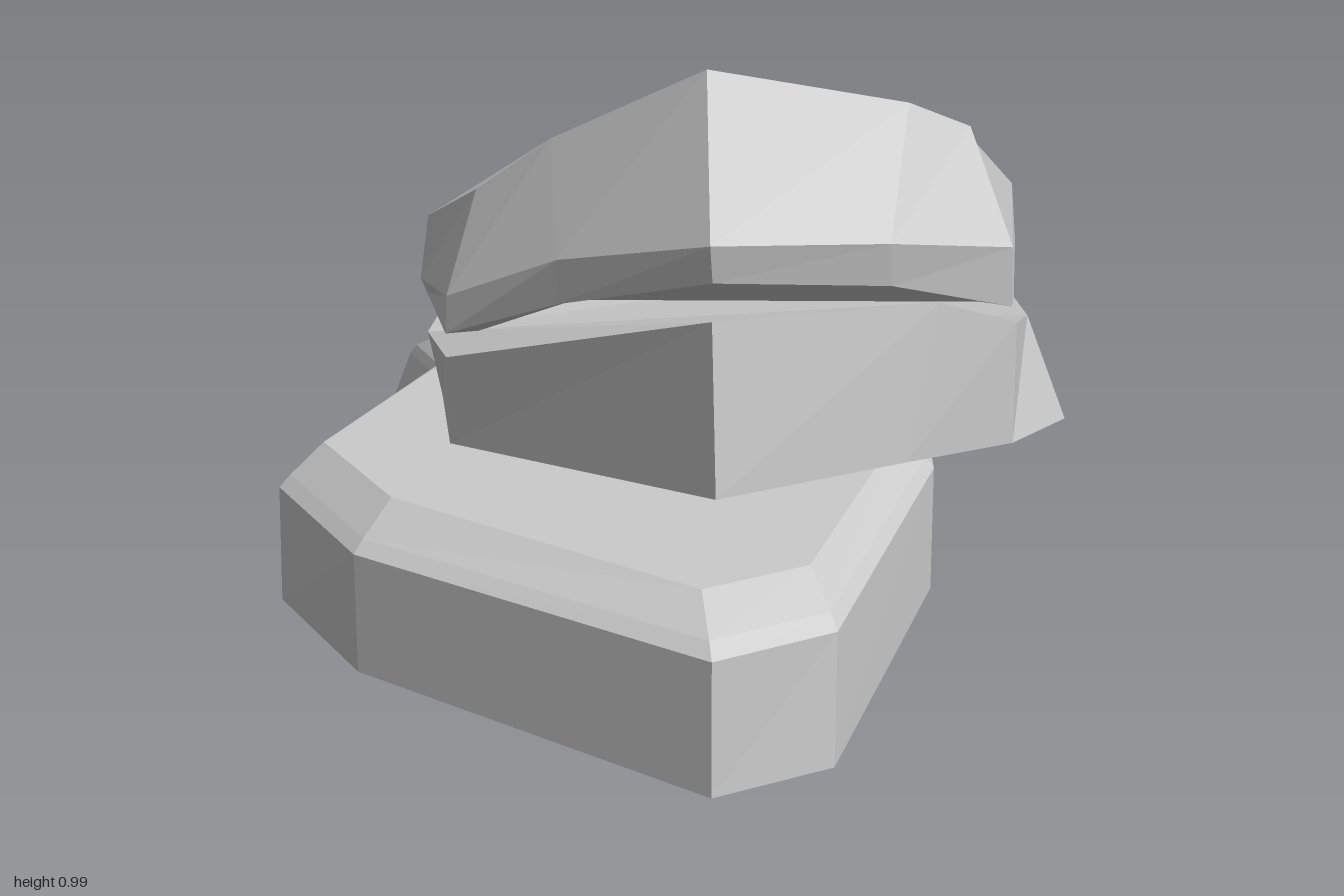
import * as THREE from 'three';

const material = new THREE.MeshStandardMaterial({
  color: 0xcccccc, flatShading: true, side: THREE.DoubleSide,
});

// Joins rings of [x, y, z] points from bottom to top into a faceted stone.
// Rings run front tip -> +x -> back -> -x; caps fan out from the ring point "hub".
function stone(name, rings, hub, closeBottom) {
  const pos = [];
  const tri = (a, b, c) => pos.push(...a, ...b, ...c);
  const n = rings[0].length;
  const top = rings[rings.length - 1], low = rings[0];
  for (let r = 0; r < rings.length - 1; r++) {
    for (let i = 0; i < n; i++) {
      const j = (i + 1) % n;
      const a = rings[r][i], b = rings[r][j], c = rings[r + 1][j], d = rings[r + 1][i];
      tri(a, b, c);
      tri(a, c, d);
    }
  }
  for (let k = 1; k < n - 1; k++) {
    const i = (hub + k) % n, j = (hub + k + 1) % n;
    tri(top[hub], top[i], top[j]);
    if (closeBottom) tri(low[hub], low[j], low[i]);
  }
  const geometry = new THREE.BufferGeometry();
  geometry.setAttribute('position', new THREE.Float32BufferAttribute(pos, 3));
  geometry.computeVertexNormals();
  const mesh = new THREE.Mesh(geometry, material);
  mesh.name = name;
  return mesh;
}

// Shrinks a ring toward a centre by factor s and shifts it by dy.
const inset = (ring, s, dy, cx, cz) =>
  ring.map(([x, y, z]) => [cx + (x - cx) * s, y + dy, cz + (z - cz) * s]);

export function createModel() {
  const group = new THREE.Group();
  group.name = 'stackedRocks';

  // Base slab: upright walls, chamfered rim, flat top, open underneath
  const baseFoot = [
    [0.24, 0.01, 1], [0.4, 0.01, 0.87], [0.475, 0.01, 0.16], [0.4, 0, -0.34], [0.1, 0.01, -1],
    [-0.5, 0.01, -0.79], [-0.69, 0.01, -0.34], [-0.6, 0.01, -0.18], [-0.61, 0.01, 0.42], [-0.39, 0.01, 0.68],
  ];
  const baseShoulder = [
    [0.24, 0.22, 1], [0.4, 0.22, 0.86], [0.475, 0.23, 0.16], [0.4, 0.23, -0.34], [0.1, 0.23, -0.97],
    [-0.47, 0.22, -0.74], [-0.6, 0.23, -0.32], [-0.52, 0.23, -0.2], [-0.61, 0.21, 0.41], [-0.39, 0.21, 0.68],
  ];
  const baseChamfer = inset(baseShoulder, 0.97, 0.02, -0.06, 0.03);
  const baseTop = inset(baseShoulder, 0.88, 0, -0.06, 0.03).map(([x, , z]) => [x, 0.28, z]);
  group.add(stone('baseSlab', [baseFoot, baseShoulder, baseChamfer, baseTop], 7, false));

  // Middle slab: tilted, thick at the front, bulging on one side
  const midLow = [
    [0.22, 0.41, 0.86], [0.47, 0.4, 0.62], [0.62, 0.38, 0.44], [0.69, 0.31, 0.09], [0.6, 0.28, -0.11],
    [0.54, 0.23, -0.45], [0.39, 0.26, -0.72], [0.1, 0.28, -0.93], [-0.28, 0.29, -0.8],
    [-0.48, 0.3, -0.64], [-0.52, 0.29, -0.46], [-0.39, 0.31, 0.17], [-0.29, 0.33, 0.47],
  ];
  const midHigh = [
    [0.21, 0.67, 0.84], [0.51, 0.64, 0.57], [0.62, 0.58, 0.45], [0.62, 0.49, 0.09], [0.59, 0.46, -0.11],
    [0.54, 0.41, -0.45], [0.39, 0.37, -0.71], [0.1, 0.36, -0.92], [-0.28, 0.36, -0.79],
    [-0.46, 0.36, -0.64], [-0.52, 0.37, -0.46], [-0.42, 0.42, 0.15], [-0.29, 0.48, 0.48],
  ];
  const midUnder = inset(midLow, 0.9, -0.02, 0.1, -0.05);
  group.add(stone('middleSlab', [midUnder, midLow, midHigh], 11, true));

  // Top slab: wedge rising to a peak at the front
  const capLow = [
    [0.2, 0.71, 0.78], [0.44, 0.67, 0.6], [0.61, 0.6, 0.43], [0.61, 0.59, 0.37], [0.6, 0.55, 0.2],
    [0.58, 0.5, -0.1], [0.53, 0.43, -0.42], [0.3, 0.38, -0.7], [0.1, 0.37, -0.95], [-0.28, 0.39, -0.78],
    [-0.47, 0.44, -0.02], [-0.29, 0.52, 0.48], [-0.07, 0.62, 0.62],
  ];
  const capWaist = [
    [0.2, 0.77, 0.8], [0.44, 0.74, 0.62], [0.61, 0.7, 0.45], [0.6, 0.78, 0.36], [0.6, 0.65, 0.2],
    [0.58, 0.52, -0.1], [0.54, 0.45, -0.44], [0.33, 0.42, -0.7], [0.1, 0.42, -0.97], [-0.28, 0.44, -0.8],
    [-0.47, 0.48, 0.02], [-0.29, 0.58, 0.47], [-0.07, 0.69, 0.62],
  ];
  const capTop = [
    [0.16, 0.99, 0.61], [0.44, 0.91, 0.4], [0.53, 0.86, 0.32], [0.52, 0.84, 0.27], [0.49, 0.77, 0.14],
    [0.44, 0.66, -0.08], [0.38, 0.59, -0.36], [0.3, 0.52, -0.68], [0.1, 0.48, -0.97], [-0.27, 0.5, -0.79],
    [-0.45, 0.6, 0.03], [-0.27, 0.73, 0.35], [-0.12, 0.84, 0.44],
  ];
  const capUnder = inset(capLow, 0.9, -0.01, 0.1, -0.1);
  group.add(stone('topSlab', [capUnder, capLow, capWaist, capTop], 10, true));

  return group;
}
